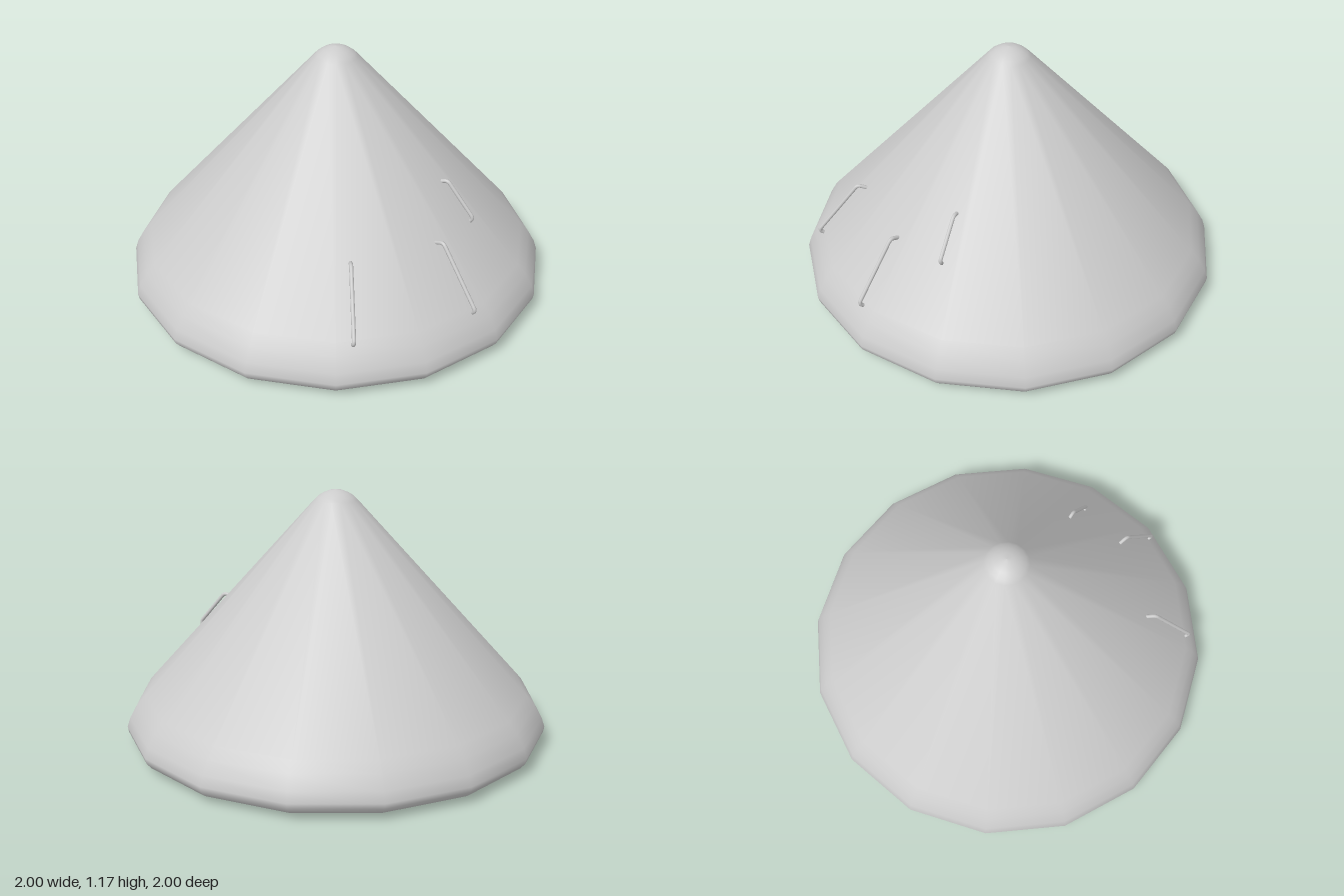
import * as THREE from 'three';

const SIDES = 16;
const material = new THREE.MeshStandardMaterial({ color: 0xcccccc });

function addMesh(parent, name, geometry) {
  const mesh = new THREE.Mesh(geometry, material);
  mesh.name = name;
  parent.add(mesh);
  return mesh;
}

// Bent rod: foot, rounded corner, straight grip, rounded corner, foot
function handleGeometry(points) {
  const [a, b, c, d] = points.map((p) => new THREE.Vector3(...p));
  const bend = 0.018;
  const toward = (from, to) => from.clone().add(to.clone().sub(from).setLength(bend));
  const path = new THREE.CurvePath();
  path.add(new THREE.LineCurve3(a, toward(b, a)));
  path.add(new THREE.QuadraticBezierCurve3(toward(b, a), b, toward(b, c)));
  path.add(new THREE.LineCurve3(toward(b, c), toward(c, b)));
  path.add(new THREE.QuadraticBezierCurve3(toward(c, b), c, toward(c, d)));
  path.add(new THREE.LineCurve3(toward(c, d), d));
  return new THREE.TubeGeometry(path, 48, 0.009, 8);
}

export function createModel() {
  const model = new THREE.Group();
  model.name = 'coneCapsule';

  // Conical hull with rounded rim and rounded tip
  const profile = [
    [0.89, 0.005], [0.94, 0.015], [0.975, 0.035], [0.995, 0.06], [1, 0.085],
    [0.985, 0.13], [0.95, 0.19], [0.91, 0.235], [0.1, 1.13],
    [0.085, 1.145], [0.06, 1.162], [0.03, 1.174], [0, 1.178],
  ].map(([r, y]) => new THREE.Vector2(r, y));
  addMesh(model, 'hull', new THREE.LatheGeometry(profile, SIDES));

  // Flat underside
  const base = addMesh(model, 'base', new THREE.CircleGeometry(0.89, SIDES));
  base.rotation.x = Math.PI / 2;
  base.position.y = 0.005;

  // Mirrored pair of long grab handles on the front
  for (const [name, s] of [['leftHandle', 1], ['rightHandle', -1]]) {
    addMesh(model, name, handleGeometry([
      [s * 0.195, 0.465, 0.63], [s * 0.217, 0.492, 0.69],
      [s * 0.285, 0.24, 0.885], [s * 0.28, 0.21, 0.85],
    ]));
  }

  // Short grab handle higher on the left
  addMesh(model, 'upperHandle', handleGeometry([
    [0.335, 0.625, 0.415], [0.36, 0.638, 0.445],
    [0.442, 0.48, 0.552], [0.43, 0.455, 0.535],
  ]));

  return model;
}
